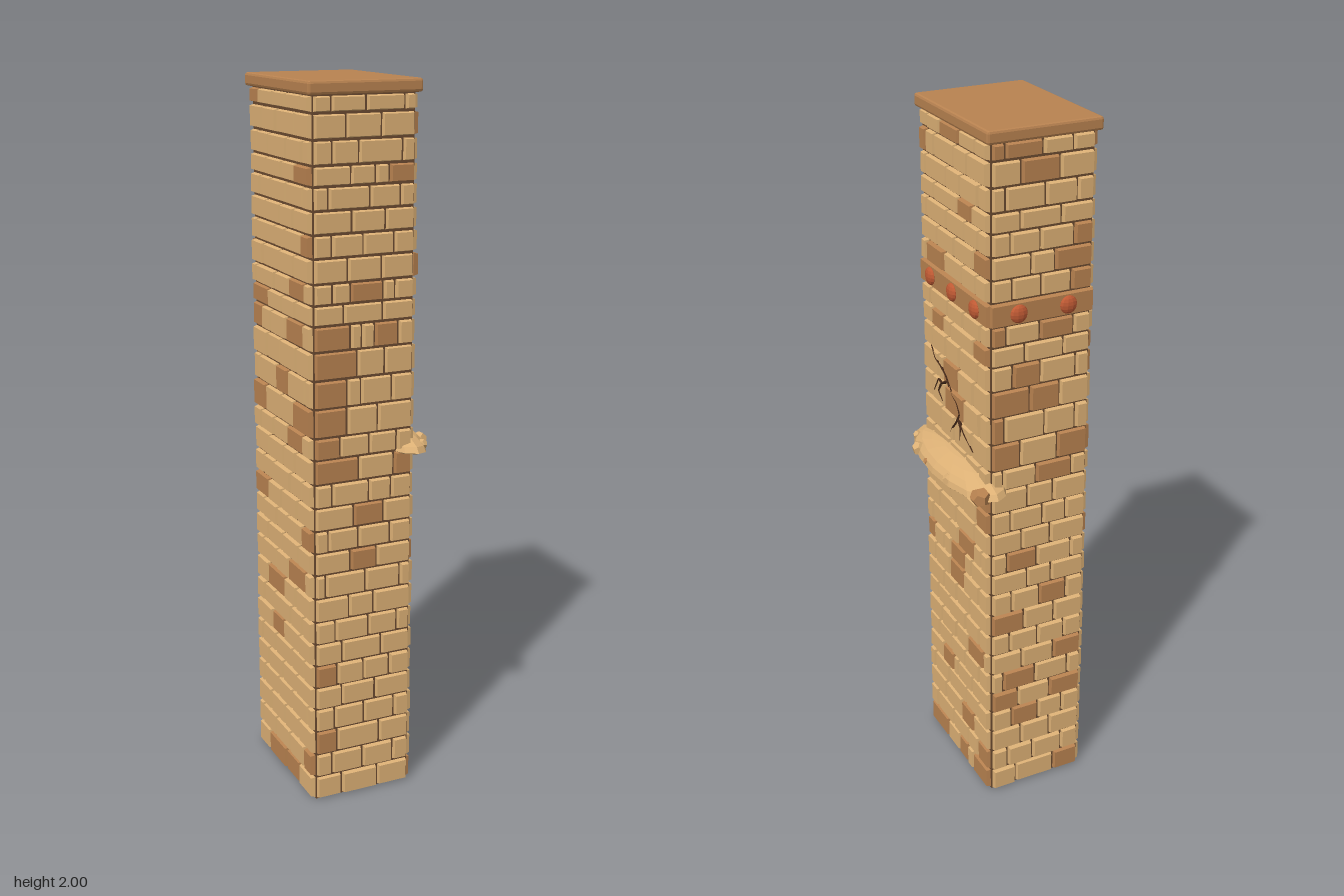
import * as THREE from 'three';
import { mergeGeometries } from 'three/addons/utils/BufferGeometryUtils.js';
import { RoundedBoxGeometry } from 'three/addons/geometries/RoundedBoxGeometry.js';

const mat = (name, color) => new THREE.MeshStandardMaterial({ name, color, flatShading: true });

// Core of the pillar
const CX = -0.034, HX = 0.144, HZ = 0.199, DEPTH = 0.012, TOP = 1.966;

// Heights of the mortar joints between courses
const COURSES = [0, .07, .14, .212, .281, .347, .414, .48, .546, .615, .684, .748, .812, .878, .944, 1.013,
  1.074, 1.154, 1.231, 1.308, 1.377, 1.432, 1.488, 1.554, 1.615, 1.676, 1.737, 1.79, 1.854, 1.92, 1.965];
const BAND_ROW = 22;

// Dark bricks: course -> spans along the face, measured from its centre
const FRONT_DARK = {
  2: [[-HX, -.08]], 5: [[-HX, -.08]], 10: [[-.04, .04]], 12: [[-.03, .06]], 14: [[-HX, -.015], [.09, HX]],
  15: [[-HX, -.07]], 16: [[-HX, -.05]], 17: [[-HX, -.05]], 18: [[-HX, -.02]], 19: [[-HX, -.04], [.03, .1]],
  21: [[-.04, .055]], 26: [[.07, HX]],
};
const RIGHT_DARK = {
  0: [[-HZ, -.08], [0, .06], [.1, HZ]], 1: [[.13, HZ]], 2: [[.02, .1]], 4: [[-.105, -.03]], 6: [[.07, .17]],
  9: [[-.045, .045]], 10: [[-HZ, -.15], [-.04, .05]], 11: [[.01, .11]], 13: [[.13, HZ]], 14: [[.12, HZ]],
  17: [[-.06, .055]], 18: [[-.07, .02]], 20: [[-.14, -.07], [.12, HZ]], 23: [[-.165, -.06]], 24: [[.12, HZ]],
  26: [[.03, .11]], 28: [[-HZ, -.16]], 29: [[-.07, .04]],
};

function createRandom(seed) {
  return () => {
    seed = (seed * 16807) % 2147483647;
    return seed / 2147483647;
  };
}

// Block lying on z = 0 whose outer face is drawn in by a bevel
function brickGeometry(w, h, d, bevel) {
  const g = new THREE.BoxGeometry(w, h, d);
  const p = g.attributes.position;
  for (let i = 0; i < p.count; i++) {
    if (p.getZ(i) > 0) {
      p.setX(i, p.getX(i) - Math.sign(p.getX(i)) * bevel);
      p.setY(i, p.getY(i) - Math.sign(p.getY(i)) * bevel);
    }
  }
  g.translate(0, 0, d / 2);
  g.computeVertexNormals();
  return g;
}

// One brick face, built facing +z around x = 0; without a dark map, dark bricks are scattered
function brickFace(name, half, dark, hasBand, seed, mats) {
  const random = createRandom(seed);
  const light = [], brown = [];
  const count = Math.round(half * 2 / 0.112);
  const unit = half * 2 / count;
  for (let r = 0; r < COURSES.length - 1; r++) {
    if (hasBand && r === BAND_ROW) continue;
    const y0 = COURSES[r], y1 = COURSES[r + 1];
    const spans = (dark && dark[r]) || [];
    const ends = new Set([-half, half, ...spans.flat()]);
    for (let k = 0; k < count; k++) {
      const x = -half + unit * (k + (r % 2 ? 0.5 : 1)) + (random() - 0.5) * 0.035;
      if (x < half - 0.03 && !spans.some(([a, b]) => x > a - 0.03 && x < b + 0.03)) ends.add(x);
    }
    const joints = [...ends].sort((a, b) => a - b);
    for (let k = 0; k < joints.length - 1; k++) {
      const a = joints[k], b = joints[k + 1], mid = (a + b) / 2;
      const depth = DEPTH + (random() - 0.5) * 0.004;
      const g = brickGeometry(b - a - 0.007, y1 - y0 - 0.007, depth, 0.003);
      g.translate(mid, (y0 + y1) / 2, 0);
      const isDark = dark ? spans.some(([s, e]) => mid > s && mid < e) : random() < 0.17;
      (isDark ? brown : light).push(g);
    }
  }
  const face = new THREE.Group();
  face.name = name;
  for (const [part, list, m] of [['lightBricks', light, mats.tan], ['darkBricks', brown, mats.brown]]) {
    const mesh = new THREE.Mesh(mergeGeometries(list), m);
    mesh.name = part;
    face.add(mesh);
  }
  return face;
}

// Metal band with domed rivets, built facing +z
function rivetedBand(half, rivets, mats) {
  const band = new THREE.Group();
  band.name = 'rivetedBand';
  const strap = new THREE.Mesh(brickGeometry(half * 2 + 0.01, 0.061, 0.014, 0.003), mats.brown);
  strap.name = 'strap';
  band.add(strap);
  for (const x of rivets) {
    const rivet = new THREE.Mesh(new THREE.SphereGeometry(0.025, 10, 8), mats.rust);
    rivet.name = 'rivet';
    rivet.scale.z = 0.5;
    rivet.position.set(x, 0, 0.015);
    band.add(rivet);
  }
  band.position.y = 1.521;
  return band;
}

// Crack tapering to a point, following [z, y] points on the right wall
function crack(points, radius, m) {
  const x = CX + HX + DEPTH;
  const path = points.map(([z, y]) => new THREE.Vector3(x, y, z));
  const curve = new THREE.CatmullRomCurve3(path, false, 'catmullrom', 0.15);
  const steps = 16, sides = 5;
  const g = new THREE.TubeGeometry(curve, steps, radius, sides);
  const p = g.attributes.position, v = new THREE.Vector3();
  for (let i = 0; i < p.count; i++) {
    const t = Math.floor(i / (sides + 1)) / steps;
    v.fromBufferAttribute(p, i).lerp(curve.getPointAt(t), t * 0.7);
    p.setXYZ(i, v.x, v.y, v.z);
  }
  const mesh = new THREE.Mesh(g, m);
  mesh.name = 'crack';
  return mesh;
}

// Stone ledge: drooping half-lens with a shallow underside and loose stones on its rim
function stoneLedge(mats) {
  const ledge = new THREE.Group();
  ledge.name = 'stoneLedge';
  const g = new THREE.SphereGeometry(1, 16, 10);
  const p = g.attributes.position;
  for (let i = 0; i < p.count; i++) {
    const x = p.getX(i), y = p.getY(i);
    const droop = 0.012 * Math.max(x, 0);
    p.setXYZ(i, x * 0.083, y * (y > 0 ? 0.05 : 0.016) - droop, p.getZ(i) * 0.248);
  }
  g.computeVertexNormals();
  const slab = new THREE.Mesh(g, mats.tan);
  slab.name = 'slab';
  slab.position.set(0.111, 1.01, 0);
  ledge.add(slab);
  const stones = [[.148, 1.015, -.213, .029, mats.brown], [.177, 1.01, -.075, .018, mats.tan],
    [.181, 1.006, .055, .013, mats.brown], [.173, 1.011, .13, .022, mats.tan], [.148, 1.018, .195, .015, mats.tan]];
  stones.forEach(([x, y, z, r, m], i) => {
    const stone = new THREE.Mesh(new THREE.DodecahedronGeometry(r), m);
    stone.name = 'looseStone';
    stone.position.set(x, y, z);
    stone.rotation.set(i * 1.3, i * 0.8, i);
    ledge.add(stone);
  });
  return ledge;
}

export function createModel() {
  const mats = {
    tan: mat('tanBrick', 0xdcb075),
    brown: mat('brownBrick', 0xb88250),
    mortar: mat('darkMortar', 0x6a4a30),
    rust: mat('rustRed', 0xc05a34),
    crack: mat('crackBrown', 0x432818),
  };
  const model = new THREE.Group();
  model.name = 'brickPillar';

  // Mortar core and cap slab
  const core = new THREE.Mesh(new THREE.BoxGeometry(HX * 2, TOP, HZ * 2), mats.mortar);
  core.name = 'mortarCore';
  core.position.set(CX, TOP / 2, 0);
  const cap = new THREE.Mesh(new RoundedBoxGeometry(0.322, 0.035, 0.432, 1, 0.007), mats.brown);
  cap.name = 'capSlab';
  cap.position.set(CX, 1.9825, -0.001);
  model.add(core, cap);

  // Four brick walls, two of them with a riveted band
  const walls = [
    ['frontWall', HX, HZ, FRONT_DARK, null, 11],
    ['rightWall', HZ, HX, RIGHT_DARK, [-0.135, 0, 0.135], 23],
    ['backWall', HX, HZ, null, [-0.071, 0.073], 37],
    ['leftWall', HZ, HX, null, null, 59],
  ];
  walls.forEach(([name, half, out, dark, rivets, seed], i) => {
    const wall = brickFace(name, half, dark, !!rivets, seed, mats);
    if (rivets) wall.add(rivetedBand(half, rivets, mats));
    wall.rotation.y = i * Math.PI / 2;
    wall.position.set(CX, 0, 0).add(new THREE.Vector3(0, 0, out).applyEuler(wall.rotation));
    model.add(wall);
  });

  // Branching cracks on the right wall
  const cracks = [
    [[.027, 1.235], [.05, 1.26], [.09, 1.277], [.12, 1.285], [.145, 1.315]],
    [[.04, 1.245], [.08, 1.225], [.1, 1.23], [.13, 1.185]],
    [[.08, 1.225], [.1, 1.195], [.075, 1.172]],
    [[-.025, 1.16], [-.035, 1.18], [-.015, 1.205], [.01, 1.215], [.027, 1.235]],
    [[-.025, 1.16], [-.06, 1.13], [-.085, 1.115], [-.115, 1.098]],
    [[-.025, 1.16], [-.005, 1.135], [.015, 1.115], [.035, 1.085]],
    [[-.025, 1.16], [-.04, 1.135], [-.033, 1.095]],
  ];
  for (const points of cracks) model.add(crack(points, 0.005, mats.crack));

  model.add(stoneLedge(mats));
  return model;
}
